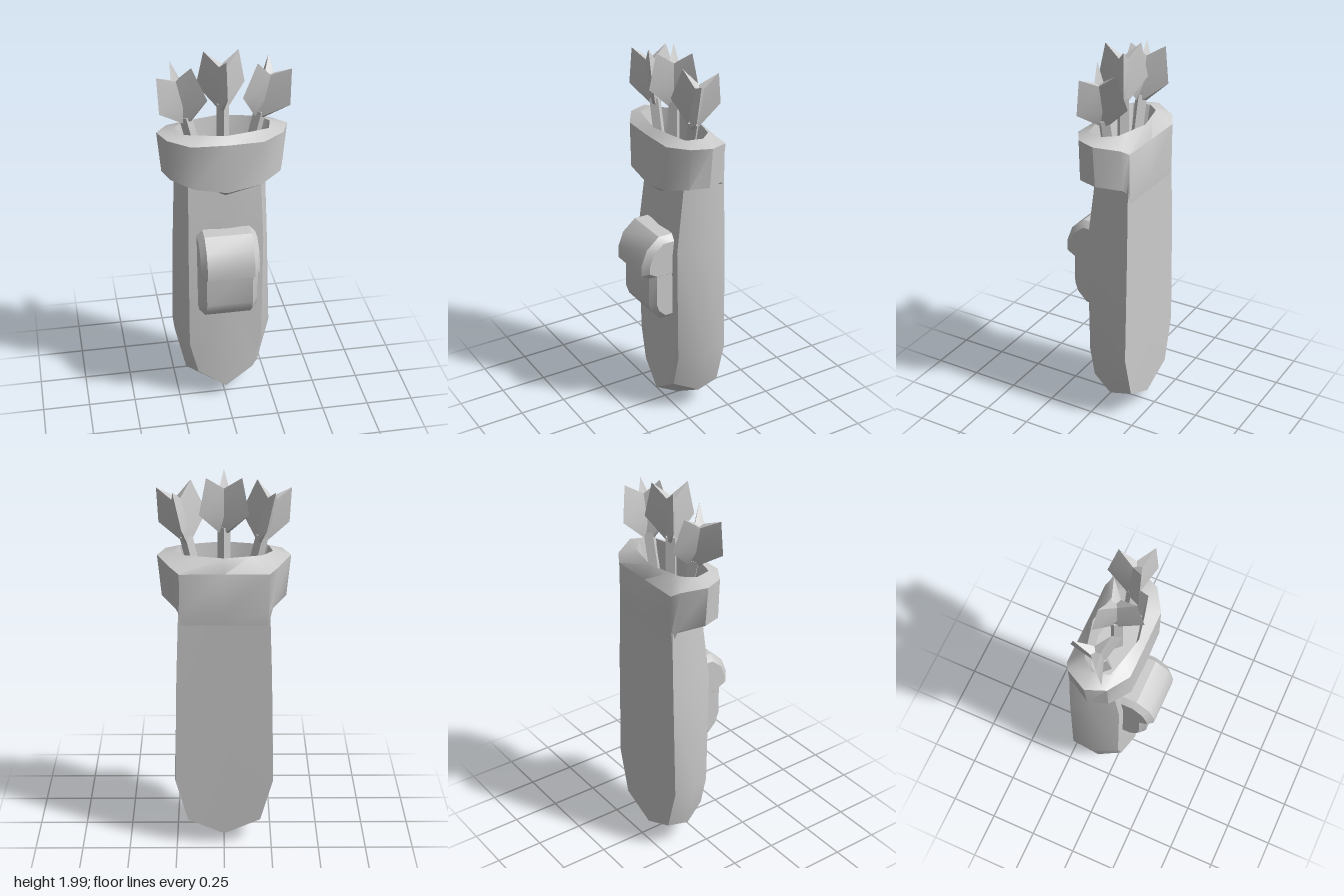
import * as THREE from 'three';
import { toCreasedNormals } from 'three/addons/utils/BufferGeometryUtils.js';

const material = new THREE.MeshStandardMaterial({ color: 0xcccccc });

// Completes a half outline (x >= 0, both ends on the centre line) by mirroring it.
function mirrorRing(half) {
  const other = half.slice(1, -1).reverse().map(([x, y, z]) => [-x, y, z]);
  return [...half, ...other];
}

// Skins closed rings of equal length and closes both ends with a fan.
// startHub and endHub optionally place the fan centres.
function loft(rings, crease, startHub, endHub) {
  const n = rings[0].length;
  const mean = (r) => [0, 1, 2].map((k) => r.reduce((s, p) => s + p[k], 0) / n);
  const last = rings.length - 1;
  const points = [...rings.flat(), startHub || mean(rings[0]), endHub || mean(rings[last])];
  const hub0 = rings.length * n;
  const index = [];
  for (let j = 0; j < n; j++) {
    const k = (j + 1) % n;
    for (let i = 0; i < last; i++) {
      const a = i * n + j, b = i * n + k;
      index.push(a, b, b + n, a, b + n, a + n);
    }
    index.push(hub0, k, j, hub0 + 1, last * n + j, last * n + k);
  }
  const g = new THREE.BufferGeometry();
  g.setAttribute('position', new THREE.Float32BufferAttribute(points.flat(), 3));
  g.setIndex(index);
  return toCreasedNormals(g, crease);
}

function addMesh(parent, name, geometry) {
  const mesh = new THREE.Mesh(geometry, material);
  mesh.name = name;
  parent.add(mesh);
  return mesh;
}

// Pointed sheath, skinned from back to front
function makeBody() {
  const back = mirrorRing([
    [0, 0.07, -0.205], [0.19, 0.16, -0.21], [0.255, 0.4, -0.21],
    [0.24, 1.0, -0.21], [0.225, 1.38, -0.205], [0, 1.38, -0.205],
  ]);
  const middle = mirrorRing([
    [0, 0.01, -0.08], [0.2, 0.135, -0.09], [0.26, 0.4, -0.09],
    [0.24, 1.0, -0.09], [0.225, 1.38, -0.1], [0, 1.38, -0.1],
  ]);
  const front = mirrorRing([
    [0, 0.085, 0.055], [0.15, 0.185, 0.035], [0.195, 0.37, 0.035],
    [0.195, 1.0, 0.045], [0.185, 1.38, 0], [0, 1.38, 0.02],
  ]);
  return loft([back, middle, front], 0.6, [0, 0.7, -0.21], [0, 0.8, 0.06]);
}

// Thick cuff around the mouth: underside, wall, rim, then the hollow inside
function makeCollar() {
  const rim = [
    [0, 1.62, 0.065], [0.12, 1.62, 0.04], [0.22, 1.62, 0.015], [0.24, 1.62, -0.07],
    [0.19, 1.62, -0.13], [0.13, 1.62, -0.145], [0, 1.62, -0.175],
  ];
  const rings = [
    [[0, 1.27, 0.03], [0.13, 1.33, 0.02], [0.19, 1.36, 0], [0.22, 1.37, -0.09],
      [0.22, 1.34, -0.18], [0.215, 1.27, -0.205], [0, 1.27, -0.205]],
    [[0, 1.32, 0.1], [0.17, 1.355, 0.1], [0.28, 1.385, 0.03], [0.31, 1.385, -0.07],
      [0.24, 1.36, -0.18], [0.22, 1.34, -0.21], [0, 1.34, -0.21]],
    [[0, 1.585, 0.1], [0.18, 1.59, 0.1], [0.29, 1.6, 0.03], [0.33, 1.6, -0.07],
      [0.265, 1.58, -0.185], [0.22, 1.55, -0.21], [0, 1.55, -0.21]],
    rim,
    rim.map(([x, , z]) => [x * 0.82, 1.45, -0.055 + (z + 0.055) * 0.8]),
  ];
  return loft(rings.map(mirrorRing), 0.7);
}

// Side profile given as [z, y], extruded across x with chamfered sides
function makePocketPart(profile, width, chamfer) {
  const shape = new THREE.Shape(profile.map(([z, y]) => new THREE.Vector2(-z, y)));
  const g = new THREE.ExtrudeGeometry(shape, {
    depth: width - 2 * chamfer, bevelEnabled: true, bevelSegments: 1,
    bevelThickness: chamfer, bevelSize: chamfer, bevelOffset: -chamfer,
  });
  g.translate(0, 0, chamfer - width / 2);
  g.rotateY(Math.PI / 2);
  return toCreasedNormals(g, 0.7);
}

// Three-finned fletching: star-shaped rings with valleys between the fins
function makeFletching() {
  const star = (tipR, tipY, valleyR, valleyY) => Array.from({ length: 6 }, (_, i) => {
    const a = i * Math.PI / 3;
    const [r, y] = i % 2 ? [valleyR, valleyY] : [tipR, tipY];
    return [r * Math.sin(a), y, r * Math.cos(a)];
  });
  return loft(
    [star(0.025, 0, 0.02, 0), star(0.14, 0.11, 0.028, 0.09), star(0.1, 0.29, 0.025, 0.23)],
    0.3, [0, 0, 0], [0, 0.22, 0],
  );
}

function makeArrow(name) {
  const arrow = new THREE.Group();
  arrow.name = name;
  addMesh(arrow, 'fletching', makeFletching());
  const shaft = new THREE.CylinderGeometry(0.032, 0.032, 0.3, 4).toNonIndexed();
  shaft.computeVertexNormals();
  addMesh(arrow, 'shaft', shaft).position.y = -0.12;
  return arrow;
}

export function createModel() {
  const model = new THREE.Group();
  model.name = 'quiver';
  addMesh(model, 'body', makeBody());
  addMesh(model, 'collar', makeCollar());

  // Pouch on the front with an overhanging flap
  const pocket = new THREE.Group();
  pocket.name = 'pocket';
  addMesh(pocket, 'pouch', makePocketPart(
    [[0, 0.6], [0.1, 0.6], [0.15, 0.65], [0.168, 0.7], [0.168, 0.92], [0, 0.92]], 0.3, 0.03));
  addMesh(pocket, 'flap', makePocketPart(
    [[0, 0.84], [0.14, 0.84], [0.21, 0.88], [0.21, 0.94], [0.18, 1.02], [0.11, 1.08], [0, 1.08]],
    0.304, 0.03));
  model.add(pocket);

  // Arrows: one upright in the centre, two leaning outwards
  const centre = makeArrow('centreArrow');
  centre.position.set(0, 1.71, -0.05);
  model.add(centre);
  for (const [side, name] of [[1, 'leftArrow'], [-1, 'rightArrow']]) {
    const arrow = makeArrow(name);
    arrow.position.set(side * 0.18, 1.66, -0.05);
    arrow.rotation.set(0, Math.PI, side * -0.23, 'ZYX');
    model.add(arrow);
  }
  return model;
}
